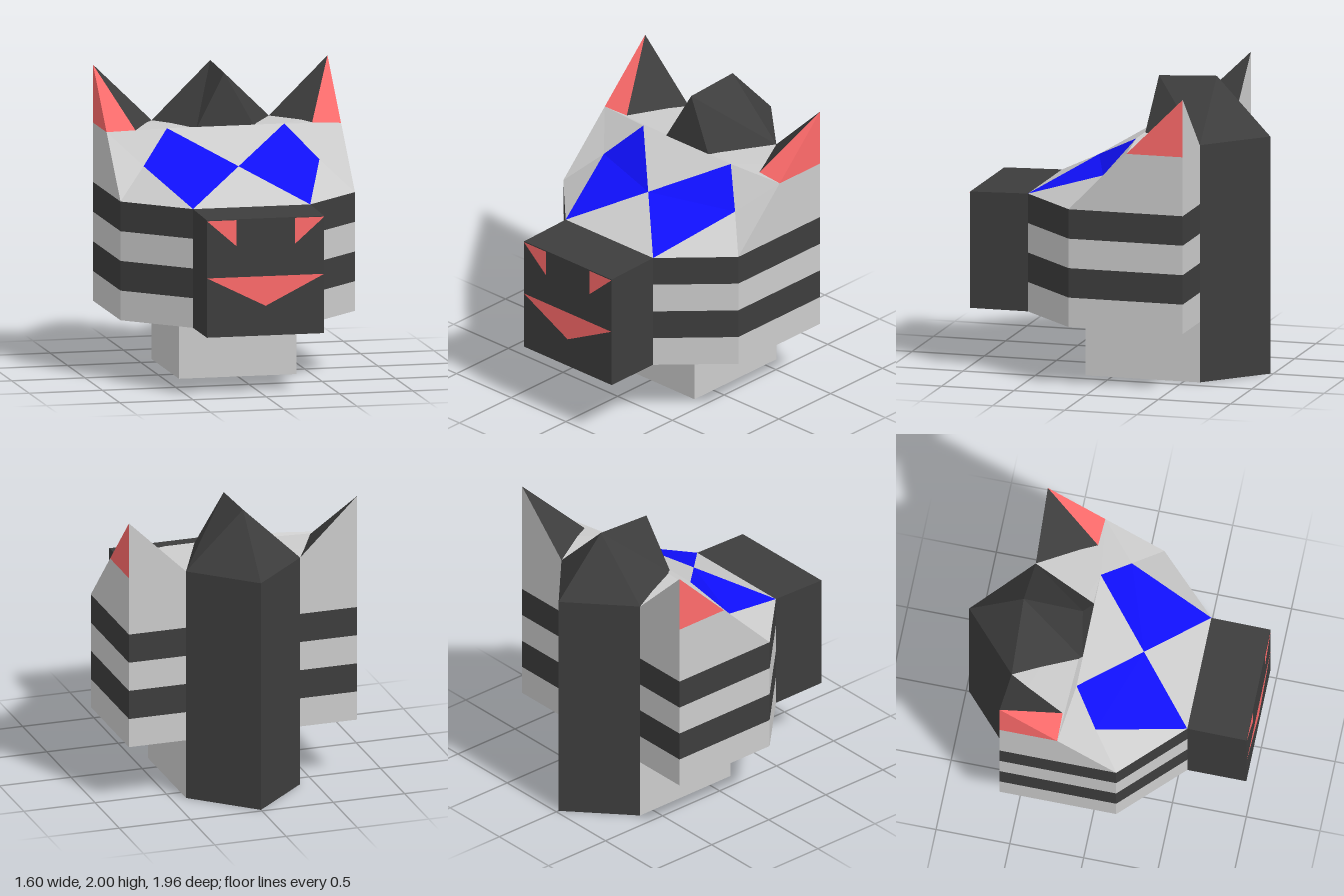
import * as THREE from 'three';

const mat = (color) => new THREE.MeshStandardMaterial({ color, flatShading: true, side: THREE.DoubleSide });

// Flat polygons, each wound to face away from the point "inside"
function panels(name, material, inside, polygons) {
  const centre = new THREE.Vector3(...inside);
  const positions = [];
  for (const polygon of polygons) {
    const p = polygon.map((c) => new THREE.Vector3(...c));
    const normal = p[1].clone().sub(p[0]).cross(p[2].clone().sub(p[0]));
    if (normal.dot(p[0].clone().sub(centre)) < 0) p.reverse();
    for (let i = 1; i < p.length - 1; i++) {
      for (const v of [p[0], p[i], p[i + 1]]) positions.push(v.x, v.y, v.z);
    }
  }
  const geometry = new THREE.BufferGeometry();
  geometry.setAttribute('position', new THREE.Float32BufferAttribute(positions, 3));
  geometry.computeVertexNormals();
  const mesh = new THREE.Mesh(geometry, material);
  mesh.name = name;
  return mesh;
}

const flip = (polygon) => polygon.map(([x, y, z]) => [-x, y, z]);
const both = (polygons) => [...polygons, ...polygons.map(flip)];

// Upright prism from an [x, z] outline
function prism(name, material, outline, y0, y1) {
  const shape = new THREE.Shape(outline.map(([x, z]) => new THREE.Vector2(x, -z)));
  const geometry = new THREE.ExtrudeGeometry(shape, { depth: y1 - y0, bevelEnabled: false });
  geometry.rotateX(-Math.PI / 2).translate(0, y0, 0);
  const mesh = new THREE.Mesh(geometry, material);
  mesh.name = name;
  return mesh;
}

export function createModel() {
  const model = new THREE.Group();
  model.name = 'stripedAnimalHead';
  const grey = mat(0xcccccc), dark = mat(0x3d3d3d), red = mat(0xff6b6b), blue = mat(0x1010ff);

  // Striped cheeks, alternating from the jaw upwards
  const cheeks = [[-0.8, -0.61], [-0.8, 0.18], [-0.4, 0.58], [0.4, 0.58], [0.8, 0.18], [0.8, -0.61]];
  const levels = [0.41, 0.61, 0.81, 1.01, 1.21];
  for (let i = 0; i < 4; i++) {
    model.add(prism(i % 2 ? 'darkStripe' : 'lightStripe', i % 2 ? dark : grey, cheeks, levels[i], levels[i + 1]));
  }

  // Neck
  model.add(prism('neck', grey, [[-0.4, -0.61], [-0.4, 0.18], [0.4, 0.18], [0.4, -0.61]], 0, 0.41));

  // Skull: sloping brow, sides, back and crown
  const jaw = [0.8, 1.21, 0.18], nose = [0.4, 1.21, 0.58], browTop = [0.4, 1.63, -0.17];
  const eyeOuter = [0.6, 1.41, 0], eyeInner = [0, 1.42, 0.205], sideTop = [0.8, 1.61, -0.22];
  const backTop = [0.8, 1.61, -0.61], backLow = [0.8, 1.21, -0.61];
  const mirror = ([x, y, z]) => [-x, y, z];
  const skullInside = [0, 1.25, -0.3];
  model.add(panels('skull', grey, skullInside, [
    ...both([
      [nose, jaw, eyeOuter],
      [jaw, sideTop, eyeOuter],
      [sideTop, browTop, eyeOuter],
      [jaw, backLow, backTop, sideTop],
    ]),
    [nose, eyeInner, mirror(nose)],
    [browTop, eyeInner, mirror(browTop)],
    [backLow, backTop, mirror(backTop), mirror(backLow)],
    [browTop, sideTop, backTop, mirror(backTop), mirror(sideTop), mirror(browTop)],
  ]));

  // Diamond eyes
  const eye = [browTop, eyeOuter, nose, eyeInner];
  model.add(panels('leftEye', blue, skullInside, [[eye[1], eye[2], eye[3]], [eye[1], eye[3], eye[0]]]));
  const eyeR = flip(eye);
  model.add(panels('rightEye', blue, skullInside, [[eyeR[1], eyeR[2], eyeR[3]], [eyeR[1], eyeR[3], eyeR[0]]]));

  // Muzzle with a light underside
  const muzzleInside = [0, 0.8, 0.8];
  model.add(panels('muzzle', dark, muzzleInside, [
    [[-0.4, 0.41, 0.98], [0.4, 0.41, 0.98], [0.4, 1.2, 0.98], [-0.4, 1.2, 0.98]],
    [[-0.4, 1.2, 0.98], [0.4, 1.2, 0.98], [0.4, 1.21, 0.58], [-0.4, 1.21, 0.58]],
    ...both([[[0.4, 0.41, 0.98], [0.4, 0.41, 0.58], [0.4, 1.21, 0.58], [0.4, 1.2, 0.98]]]),
  ]));
  model.add(panels('muzzleUnderside', grey, muzzleInside, [
    [[-0.4, 0.41, 0.98], [0.4, 0.41, 0.98], [0.4, 0.41, 0.58], [-0.4, 0.41, 0.58]],
  ]));

  // Nostrils and mouth
  const face = 0.983;
  model.add(panels('nostrils', red, muzzleInside, both([
    [[0.4, 1.195, face], [0.2, 1.195, face], [0.2, 1.02, face]],
  ])));
  model.add(panels('mouth', red, muzzleInside, [[[-0.4, 0.81, face], [0.4, 0.81, face], [0, 0.61, face]]]));

  // Ears: light back, dark inner face, red opening
  for (const [side, s] of [['left', 1], ['right', -1]]) {
    const tip = [0.8 * s, 2, -0.61], root = [0.4 * s, 1.61, -0.61], back = [0.8 * s, 1.61, -0.61];
    const front = [0.6 * s, 1.61, -0.22], corner = [0.8 * s, 1.61, -0.22];
    const inside = [0.7 * s, 1.66, -0.45];
    const ear = new THREE.Group();
    ear.name = side + 'Ear';
    ear.add(
      panels('earBack', grey, inside, [[tip, root, back]]),
      panels('earInnerFace', dark, inside, [[tip, root, front]]),
      panels('earOpening', red, inside, [[tip, front, corner], [tip, corner, back]]),
    );
    model.add(ear);
  }

  // Mane: crest on the crown, ridge running down the back of the neck
  const crestFront = [0, 1.98, -0.21], crestPeak = [0, 2, -0.61], ridge = [0, 1.61, -0.98];
  const crestFoot = [0.2, 1.615, -0.17], maneEdge = [0.4, 1.61, -0.61];
  model.add(panels('mane', dark, [0, 1.5, -0.6], [
    [crestFront, crestFoot, mirror(crestFoot)],
    ...both([
      [crestFront, crestFoot, maneEdge, crestPeak],
      [crestPeak, maneEdge, ridge],
      [maneEdge, ridge, [0, 0, -0.98], [0.4, 0, -0.61]],
    ]),
  ]));
  model.add(panels('maneUnderside', grey, [0, 1, -0.7], [[[-0.4, 0, -0.61], [0.4, 0, -0.61], [0, 0, -0.98]]]));

  return model;
}
